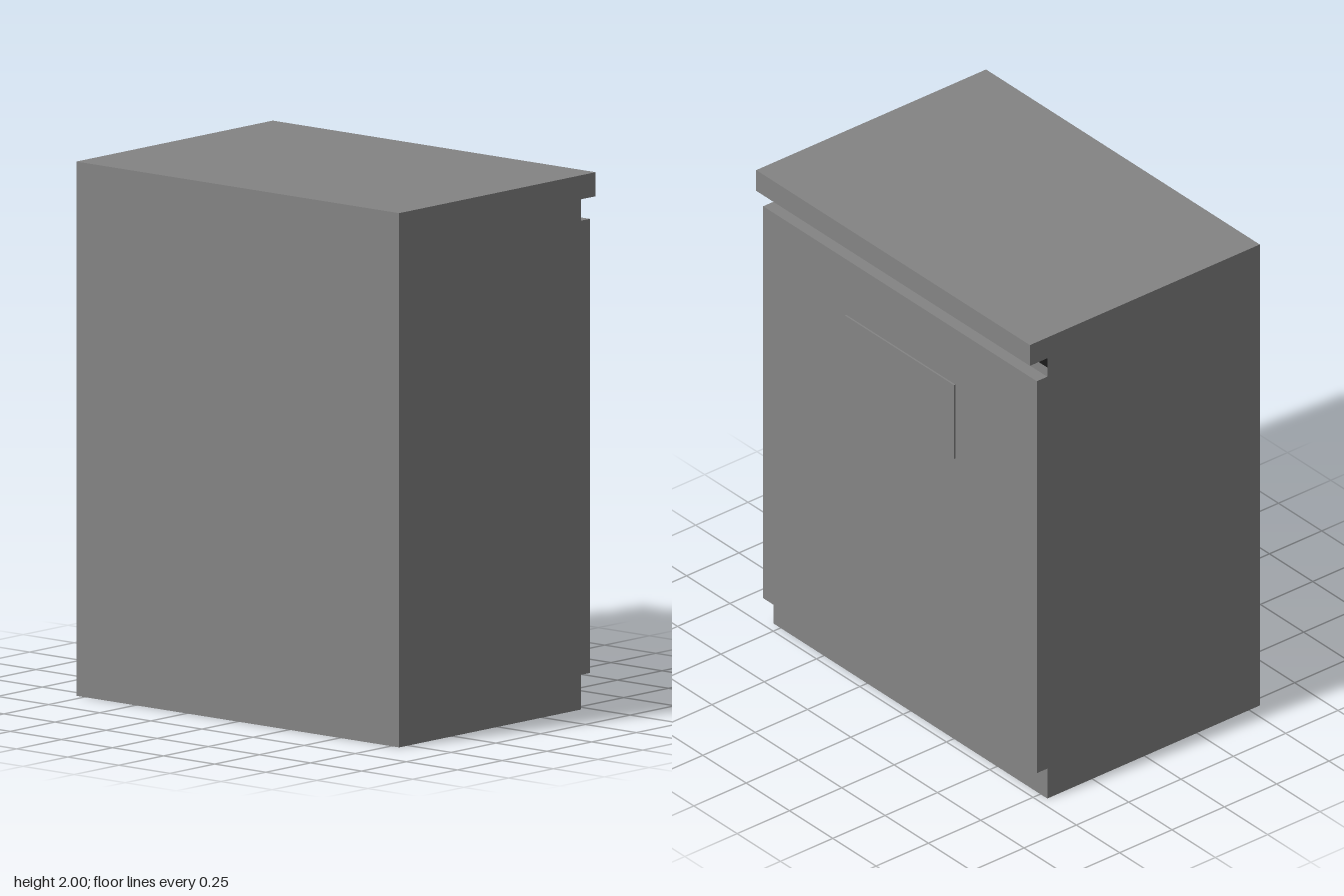
import * as THREE from 'three';

const HALF = 0.79; // half of the cabinet's width along z

export function createModel() {
  const grey = new THREE.MeshStandardMaterial({ color: 0x848484, side: THREE.DoubleSide });
  grey.name = 'grey panel';
  const black = new THREE.MeshStandardMaterial({ color: 0x1a1a1a, side: THREE.DoubleSide });
  black.name = 'black grip';

  const cabinet = new THREE.Group();
  cabinet.name = 'cabinet';
  const add = (name, geometry, material) => {
    const mesh = new THREE.Mesh(geometry, material);
    mesh.name = name;
    cabinet.add(mesh);
    return mesh;
  };

  // Sheet that sweeps a path of [x, y] points across the cabinet's width
  const sheet = (points) => {
    const v = [];
    for (let i = 0; i + 1 < points.length; i++) {
      const [a, b] = [points[i], points[i + 1]];
      v.push(...a, HALF, ...a, -HALF, ...b, -HALF);
      v.push(...a, HALF, ...b, -HALF, ...b, HALF);
    }
    const g = new THREE.BufferGeometry();
    g.setAttribute('position', new THREE.Float32BufferAttribute(v, 3));
    g.computeVertexNormals();
    return g;
  };

  // Side profile, split into parts, counter-clockwise from the floor
  const parts = [
    ['toeKick', grey, [[0.465, 0], [0.465, 0.13]]],
    ['door', grey, [[0.465, 0.13], [0.515, 0.13], [0.515, 1.83], [0.465, 1.83]]],
    ['grooveWall', grey, [[0.465, 1.83], [0.465, 1.87]]],
    ['gripStrip', black, [[0.465, 1.87], [0.465, 1.91], [0.548, 1.91]]],
    ['worktop', grey, [[0.548, 1.91], [0.548, 2], [-0.55, 2]]],
    ['backPanel', grey, [[-0.55, 2], [-0.55, 0]]],
  ];
  for (const [name, material, points] of parts) add(name, sheet(points), material);

  // End panels share the whole profile; the underside stays open
  const outline = parts.flatMap(([, , points]) => points.slice(0, -1));
  outline.push([-0.55, 0]);
  const shape = new THREE.Shape(outline.map(([x, y]) => new THREE.Vector2(x, y)));
  add('leftEndPanel', new THREE.ShapeGeometry(shape), grey).position.z = HALF;

  // The opposite end is mirrored by turning the shape round
  const flipped = new THREE.Shape(outline.map(([x, y]) => new THREE.Vector2(-x, y)));
  const rear = add('rightEndPanel', new THREE.ShapeGeometry(flipped), grey);
  rear.rotation.y = Math.PI;
  rear.position.z = -HALF;

  // Thin raised plate on the door
  add('doorPlate', new THREE.BoxGeometry(0.007, 0.32, 0.63), grey).position.set(0.5185, 1.43, -0.005);

  return cabinet;
}
